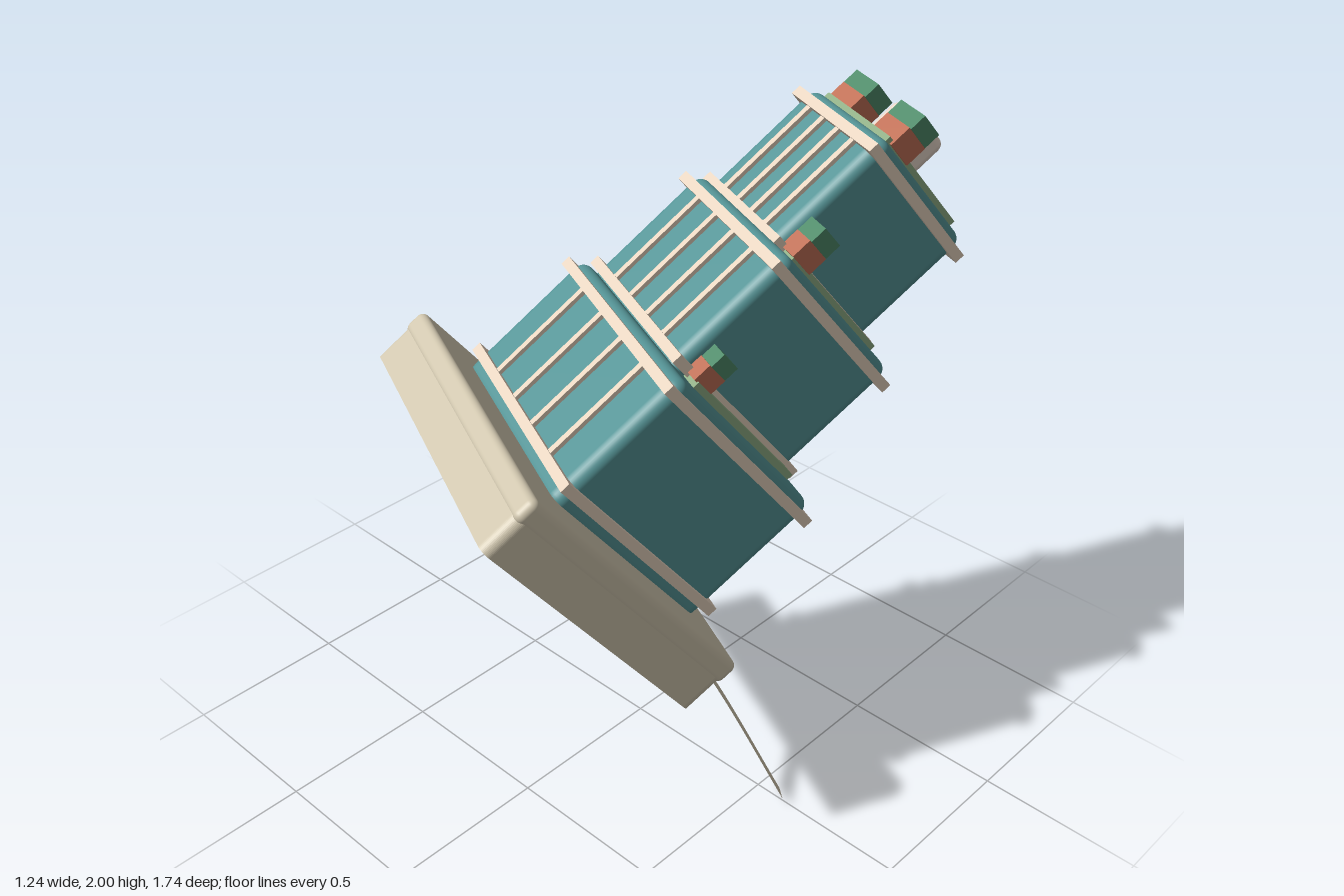
import * as THREE from 'three';
import { RoundedBoxGeometry } from 'three/addons/geometries/RoundedBoxGeometry.js';

const mat = (color) => new THREE.MeshStandardMaterial({ color });
const STONE = mat(0xd0c6ae), GLASS = mat(0x559496), TRIM = mat(0xe8d5c0);
const CLAY = mat(0xbf6f55), LEAF = mat(0x4d8a68), LAWN = mat(0x8fae85), CREAM = mat(0xe6d6c8);

// Box spanning [x0,x1] x [y0,y1] x [z0,z1]; rounded when a radius is given
function block(parent, name, material, [x0, x1], [y0, y1], [z0, z1], radius = 0) {
  const size = [x1 - x0, y1 - y0, z1 - z0];
  const geo = radius ? new RoundedBoxGeometry(...size, 4, radius) : new THREE.BoxGeometry(...size);
  const mesh = new THREE.Mesh(geo, material);
  mesh.name = name;
  mesh.position.set((x0 + x1) / 2, (y0 + y1) / 2, (z0 + z1) / 2);
  parent.add(mesh);
}

// Rounded rectangle outline centred on the origin
function roundedRect(target, w, h, r) {
  const x = w / 2 - r, y = h / 2 - r;
  target.absarc(x, y, r, 0, Math.PI / 2);
  target.absarc(-x, y, r, Math.PI / 2, Math.PI);
  target.absarc(-x, -y, r, Math.PI, Math.PI * 1.5);
  target.absarc(x, -y, r, Math.PI * 1.5, Math.PI * 2);
  target.closePath();
  return target;
}

// Thin wall around the base, open below
function skirt(parent, [x0, x1], [y0, y1], [z0, z1], radius, wall) {
  const w = x1 - x0, d = z1 - z0;
  const shape = roundedRect(new THREE.Shape(), w, d, radius);
  shape.holes.push(roundedRect(new THREE.Path(), w - 2 * wall, d - 2 * wall, radius - wall));
  const geo = new THREE.ExtrudeGeometry(shape, { depth: y1 - y0, bevelEnabled: false, curveSegments: 6 });
  const mesh = new THREE.Mesh(geo.rotateX(-Math.PI / 2), STONE);
  mesh.name = 'baseSkirt';
  mesh.position.set((x0 + x1) / 2, y0, (z0 + z1) / 2);
  parent.add(mesh);
}

// Glass storey with two trim bands and upright bars on front and back
function tier(parent, name, [x0, x1], [y0, y1], [z0, z1], bandHeights) {
  const g = new THREE.Group();
  g.name = name;
  const inset = 0.016;
  block(g, 'glassBody', GLASS, [x0 + inset, x1 - inset], [y0, y1], [z0 + inset, z1 - inset], 0.035);
  for (const y of bandHeights) {
    block(g, 'trimBand', TRIM, [x0, x1], [y - 0.015, y + 0.015], [z0, z1]);
  }
  const bars = 4;
  for (let i = 1; i <= bars; i++) {
    const x = x0 + inset + ((x1 - x0 - 2 * inset) * i) / (bars + 1);
    for (const z of [z0 + inset, z1 - inset]) {
      block(g, 'windowBar', TRIM, [x - 0.01, x + 0.01], bandHeights, [z - 0.012, z + 0.012]);
    }
  }
  parent.add(g);
}

// Clay box with a clipped hedge on top
function planter(parent, [x0, x1], y, [z0, z1], clay, hedge) {
  const g = new THREE.Group();
  g.name = 'planter';
  block(g, 'clayBox', CLAY, [x0, x1], [y, y + clay], [z0, z1]);
  block(g, 'hedge', LEAF, [x0 - 0.004, x1 + 0.004], [y + clay, y + clay + hedge], [z0 + 0.004, z1 - 0.004]);
  parent.add(g);
}

// Thin curved ribbon with a constant width direction
function ribbon(points, across, width) {
  const curve = new THREE.CatmullRomCurve3(points);
  const half = across.clone().setLength(width / 2);
  const steps = 20, pos = [], index = [];
  for (let i = 0; i <= steps; i++) {
    const p = curve.getPoint(i / steps);
    pos.push(...p.clone().sub(half).toArray(), ...p.clone().add(half).toArray());
    if (i < steps) {
      const k = i * 2;
      index.push(k, k + 1, k + 2, k + 1, k + 3, k + 2);
    }
  }
  const geo = new THREE.BufferGeometry();
  geo.setAttribute('position', new THREE.Float32BufferAttribute(pos, 3));
  geo.setIndex(index);
  geo.computeVertexNormals();
  const material = STONE.clone();
  material.side = THREE.DoubleSide;
  const mesh = new THREE.Mesh(geo, material);
  mesh.name = 'tailRibbon';
  return mesh;
}

export function createModel() {
  const model = new THREE.Group();
  model.name = 'terracedTower';

  // Tower leans back and is turned to one side
  const tower = new THREE.Group();
  tower.name = 'tower';
  tower.rotation.set(THREE.MathUtils.degToRad(-51), THREE.MathUtils.degToRad(-25), 0, 'YXZ');
  model.add(tower);

  // Base: a slab over a hollow skirt
  skirt(tower, [-0.388, 0.66], [0.273, 0.395], [0.52, 1.395], 0.03, 0.006);
  block(tower, 'baseSlab', STONE, [-0.39, 0.662], [0.38, 0.455], [0.515, 1.4], 0.022);

  // Three stepped storeys
  tier(tower, 'lowerTier', [-0.245, 0.535], [0.43, 0.895], [0.615, 1.27], [0.5, 0.855]);
  tier(tower, 'middleTier', [-0.23, 0.39], [0.86, 1.3], [0.652, 1.215], [0.915, 1.26]);
  tier(tower, 'upperTier', [-0.208, 0.252], [1.26, 1.695], [0.695, 1.172], [1.308, 1.653]);

  // Terrace lawns and planters
  block(tower, 'lowerLawn', LAWN, [0.36, 0.44], [0.88, 0.915], [0.7, 1.15]);
  planter(tower, [0.375, 0.433], 0.91, [1.09, 1.16], 0.055, 0.045);
  block(tower, 'middleLawn', LAWN, [0.23, 0.305], [1.28, 1.318], [0.72, 1.13]);
  planter(tower, [0.238, 0.312], 1.31, [1.06, 1.14], 0.06, 0.05);

  // Roof garden
  block(tower, 'roofLawn', LAWN, [-0.16, 0.195], [1.67, 1.713], [0.76, 1.12]);
  for (const x of [-0.11, 0.145]) planter(tower, [x - 0.06, x + 0.06], 1.7, [1.02, 1.105], 0.065, 0.05);
  block(tower, 'roofUnit', CREAM, [-0.07, 0.09], [1.7, 1.838], [0.885, 1.015], 0.025);

  // Ribbon hanging from the base to the ground
  model.add(ribbon(
    [new THREE.Vector3(0.12, 0.62, 0.1), new THREE.Vector3(0.35, 0.34, 0.039), new THREE.Vector3(0.585, 0.02, -0.005)],
    new THREE.Vector3(0.65, 0.4, 0.65), 0.09));

  return model;
}
